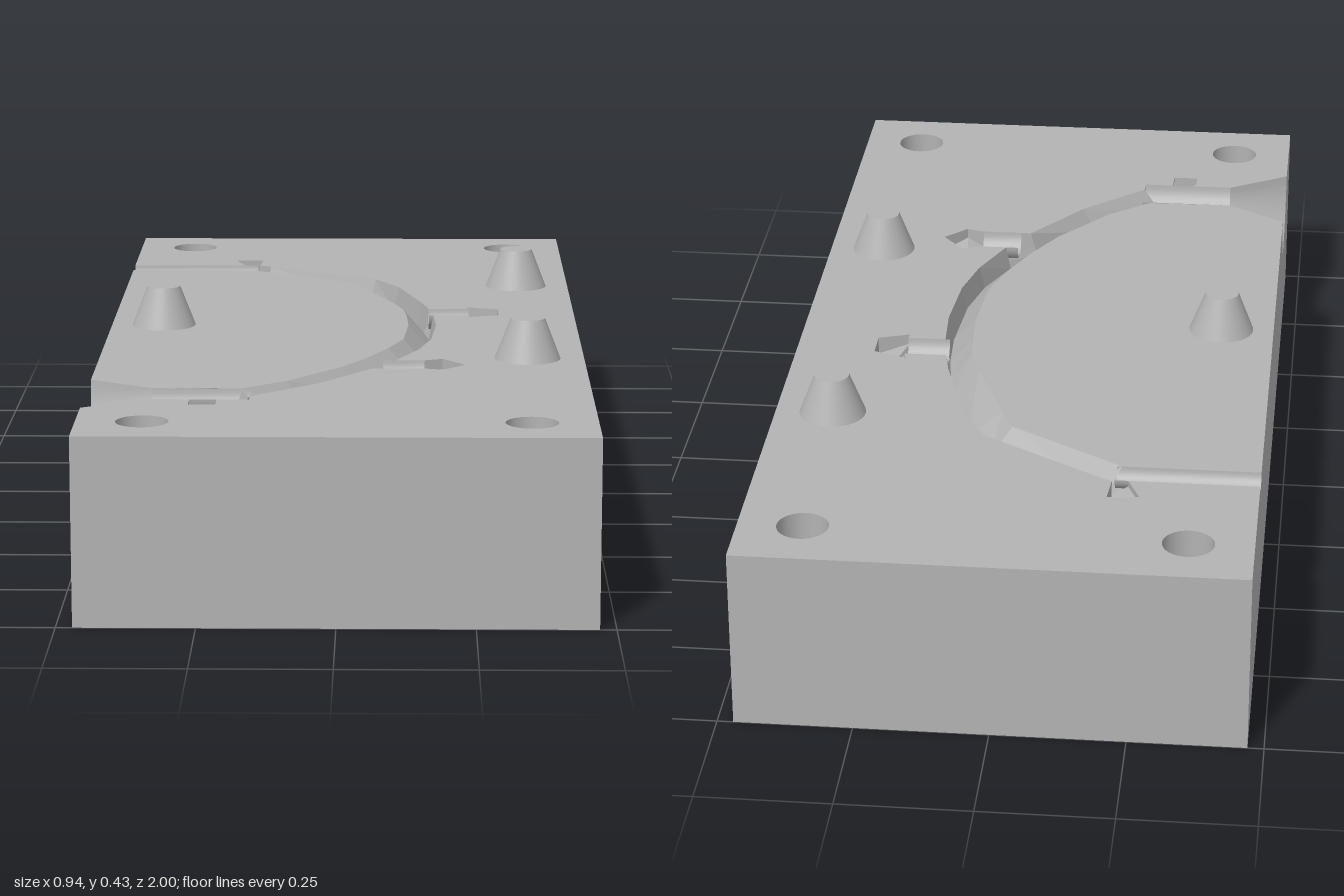
import * as THREE from 'three';

const W = 0.47, L = 1, H = 0.35;
const DEPTH = 0.05;

// Groove stations: inner edge, deepest line, outer edge, each as [x, z]; 'stem' opens the outer wall up to the next station
const groove = [
  { i: [-0.21, -0.6], b: [-0.18, -0.63], o: [-0.17, -0.645] },
  { i: [0.01, -0.46], b: [0.05, -0.49], o: [0.06, -0.5] },
  { i: [0.035, -0.4], b: [0.1, -0.41], o: [0.11, -0.41] },
  { i: [0.1, -0.23], b: [0.15, -0.23], o: [0.16, -0.23] },
  { i: [0.12, -0.16], b: [0.162, -0.17], o: [0.172, -0.17], stem: true },
  { i: [0.127, -0.09], b: [0.172, -0.1], o: [0.181, -0.1] },
  { i: [0.13, 0], b: [0.176, 0], o: [0.186, 0] },
  { i: [0.12, 0.14], b: [0.165, 0.15], o: [0.175, 0.14] },
  { i: [0.09, 0.23], b: [0.14, 0.25], o: [0.15, 0.24] },
  { i: [0.05, 0.32], b: [0.095, 0.345], o: [0.105, 0.345], stem: true },
  { i: [0.0, 0.41], b: [0.045, 0.42], o: [0.06, 0.42] },
  { i: [-0.1, 0.535], b: [-0.07, 0.55], o: [-0.04, 0.555] },
  { i: [-0.18, 0.6], b: [-0.2, 0.665], o: [-0.165, 0.67] },
];

// Pocket outlines as [x, z, depth]; each one opens on its first-to-last edge
const heads = {
  upperBarb: [[0.255, -0.17, 0.035], [0.25, -0.19, 0.02], [0.315, -0.165, 0.035], [0.315, -0.105, 0.035], [0.255, -0.085, 0.02], [0.255, -0.1, 0.035]],
  lowerBarb: [[0.16, 0.345, 0.035], [0.195, 0.33, 0.02], [0.24, 0.385, 0.03], [0.195, 0.43, 0.02], [0.16, 0.42, 0.035]],
  upperEnd: [[-0.17, -0.645, 0.05], [-0.195, -0.66, 0.05], [-0.19, -0.72, 0.05], [-0.25, -0.715, 0.012], [-0.225, -0.655, 0.012]],
  lowerEnd: [[-0.275, 0.697, 0.012], [-0.275, 0.74, 0.012], [-0.225, 0.74, 0.05], [-0.225, 0.697, 0.05]],
};

const holes = [-0.35, 0.35].flatMap((x) => [-0.88, 0.88].map((z) => [x, z]));
const pins = [[0.36, -0.43], [0.36, 0.32], [-0.365, 0]];

// Sheet stretched over equal-length rows of [x, y, z] points
function loft(rows, smooth = false) {
  const n = rows[0].length, index = [];
  for (let r = 0; r < rows.length - 1; r++) {
    for (let c = 0; c < n - 1; c++) {
      const a = r * n + c;
      index.push(a, a + n, a + 1, a + 1, a + n, a + n + 1);
    }
  }
  let geo = new THREE.BufferGeometry();
  geo.setAttribute('position', new THREE.Float32BufferAttribute(rows.flat(2), 3));
  geo.setIndex(index);
  if (!smooth) geo = geo.toNonIndexed();
  geo.computeVertexNormals();
  return geo;
}

// Half-round trough along x
function trough(x0, r0, x1, r1, z) {
  const ring = (x, r) => Array.from({ length: 17 }, (_, k) => {
    const a = (k / 16) * Math.PI;
    return [x, H - r * Math.sin(a), z - r * Math.cos(a)];
  });
  return loft([ring(x0, r0), ring(x1, r1)], true);
}

// Floor of a pocket, fanned from its centre
function pocketFloor(pts) {
  const c = [0, 1, 2].map((k) => pts.reduce((s, p) => s + p[k], 0) / pts.length);
  const at = (p) => [p[0], H - p[2], p[1]];
  const ring = [...pts, pts[0]];
  return loft([ring.map(at), ring.map(() => at(c))]);
}

export function createModel() {
  const group = new THREE.Group();
  const metal = new THREE.MeshStandardMaterial({ color: 0xb3b3b3, side: THREE.DoubleSide });
  metal.name = 'grey metal';

  const add = (geo, name) => {
    const mesh = new THREE.Mesh(geo, metal);
    mesh.name = name;
    group.add(mesh);
    return mesh;
  };

  // Flat horizontal plate from an [x, z] outline, pierced by the bolt holes
  const plate = (pts, y, name, pierced, down = false) => {
    const s = down ? 1 : -1;
    const shape = new THREE.Shape(pts.map(([x, z]) => new THREE.Vector2(x, s * z)));
    if (pierced) {
      for (const [x, z] of holes) {
        shape.holes.push(new THREE.Path().absarc(x, s * z, 0.048, 0, Math.PI * 2, true));
      }
    }
    add(new THREE.ShapeGeometry(shape, 16).rotateX(s * Math.PI / 2), name).position.y = y;
  };

  // Top faces either side of the channel
  const outer = groove.flatMap((g, k) => {
    if (!g.stem) return [g.o];
    return [g.o, ...(k < 6 ? heads.upperBarb : heads.lowerBarb)];
  }).reverse();
  plate([
    [-W, -L], [W, -L], [W, L], [-W, L], [-W, 0.77], [-0.35, 0.697],
    ...heads.lowerEnd, [-0.165, 0.697],
    ...outer, ...heads.upperEnd.slice(1), [-W, -0.655],
  ], H, 'outerTopFace', true);
  plate([
    [-W, -0.6], ...groove.map((g) => g.i), [-0.35, 0.603], [-W, 0.53],
  ], H, 'innerTopFace', false);
  plate([[-W, -L], [W, -L], [W, L], [-W, L]], 0, 'bottomFace', true, true);

  // Plain side faces
  for (const s of [1, -1]) {
    const end = add(new THREE.PlaneGeometry(2 * W, H), s > 0 ? 'frontFace' : 'backFace');
    end.position.set(0, H / 2, s * L);
    if (s < 0) end.rotation.y = Math.PI;
  }
  const left = add(new THREE.PlaneGeometry(2 * L, H), 'leftFace');
  left.position.set(W, H / 2, 0);
  left.rotation.y = Math.PI / 2;

  // Right side face, notched by the vent and the pouring funnel
  const side = new THREE.Shape();
  side.moveTo(-L, 0);
  side.lineTo(L, 0);
  side.lineTo(L, H);
  side.absarc(0.65, H, 0.12, 0, Math.PI, true);
  side.absarc(-0.6275, H, 0.0275, 0, Math.PI, true);
  side.lineTo(-L, H);
  add(new THREE.ShapeGeometry(side, 16).rotateY(-Math.PI / 2), 'rightFace').position.x = -W;

  // Curved groove
  const p = ([x, z], y) => [x, y, z];
  add(loft(groove.map((g) => [p(g.i, H), p(g.b, H - DEPTH)])), 'grooveInnerWall');
  groove.slice(0, -1).forEach((g, k) => {
    const n = groove[k + 1], top = g.stem ? H - 0.032 : H;
    add(loft([g, n].map((q) => [p(q.b, H - DEPTH), p(q.o, top)])), 'grooveOuterWall');
  });

  // Vent, funnel, gate and barb stems
  add(trough(-W, 0.0275, -0.2, 0.0275, -0.6275), 'ventChannel');
  add(trough(-W, 0.12, -0.35, 0.047, 0.65), 'pouringFunnel');
  add(trough(-0.35, 0.047, -0.165, 0.047, 0.65), 'gateChannel');
  add(trough(0.172, 0.035, 0.255, 0.035, -0.135), 'upperBarbStem');
  add(trough(0.08, 0.0375, 0.16, 0.0375, 0.3825), 'lowerBarbStem');

  // Pockets
  for (const [name, pts] of Object.entries(heads)) {
    add(loft(pts.map(([x, z, d]) => [[x, H, z], [x, H - d, z]])), name + 'Wall');
    add(pocketFloor(pts), name + 'Floor');
  }

  // Floors and end wall where the channels meet
  plate([[-0.28, -0.74], [-0.12, -0.74], [-0.12, -0.55], [-0.28, -0.55]], H - 0.052, 'ventJunctionFloor', false);
  plate([[-0.3, 0.56], [-0.12, 0.56], [-0.12, 0.76], [-0.3, 0.76]], H - 0.052, 'gateJunctionFloor', false);
  add(loft([0.66, 0.697].map((z) => [[-0.165, H, z], [-0.165, H - DEPTH, z]])), 'gateEndWall');

  // Bolt holes
  for (const [x, z] of holes) {
    const bore = new THREE.CylinderGeometry(0.048, 0.048, H, 32, 1, true);
    add(bore, 'boltHole').position.set(x, H / 2, z);
  }

  // Tapered locating pins
  for (const [x, z] of pins) {
    add(new THREE.CylinderGeometry(0.033, 0.064, 0.08, 32), 'locatingPin').position.set(x, H + 0.04, z);
  }
  return group;
}
